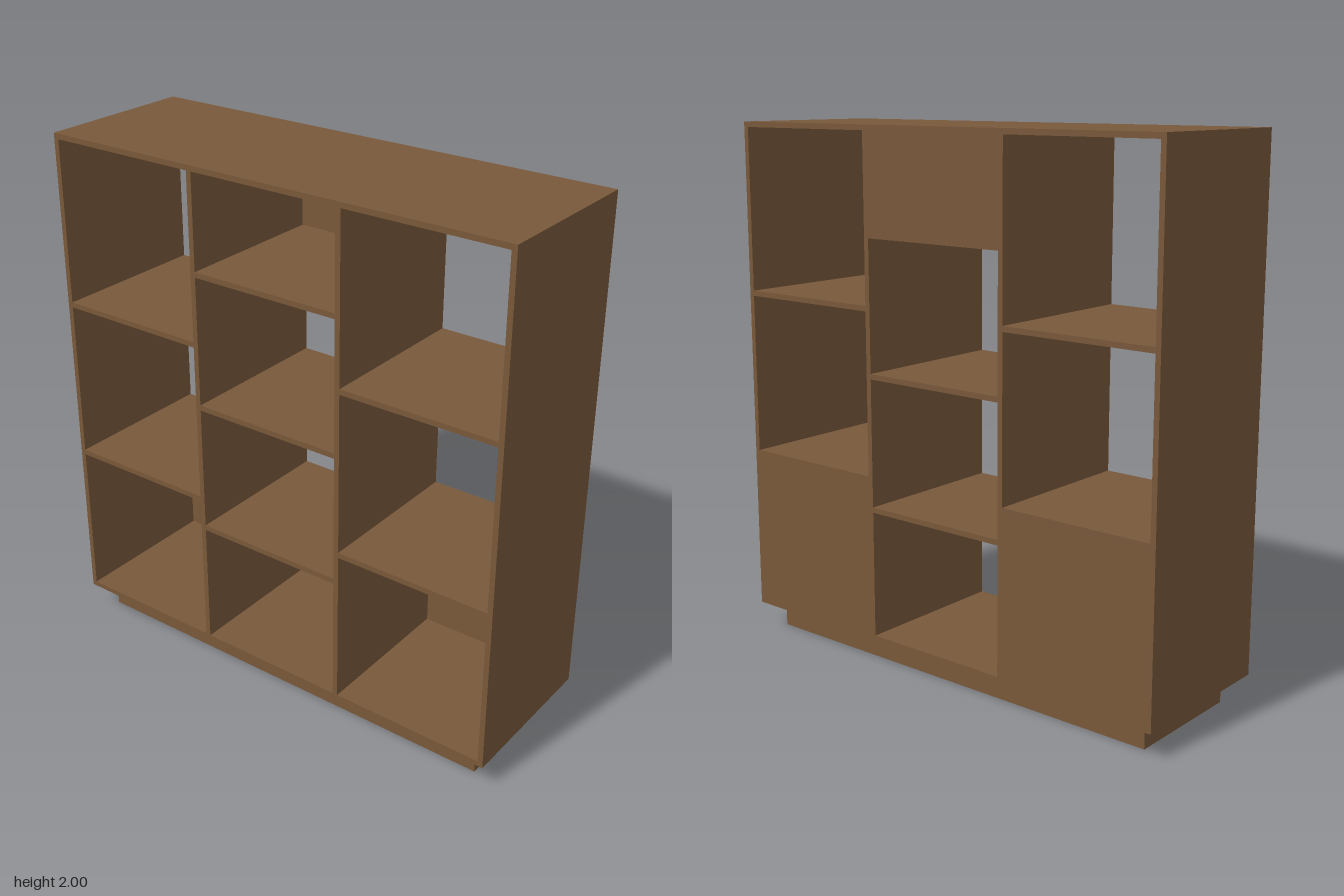
import * as THREE from 'three';

const T = 0.02;                    // board thickness
const W = 0.935, D = 0.31;         // half width, half depth
const BASE = 0.1, TOP = 2;         // carcass bottom and top
const DIV = 0.306;                 // divider centre

export function createModel() {
  const group = new THREE.Group();
  const wood = new THREE.MeshStandardMaterial({ color: 0x78583a });
  wood.name = 'brown wood';

  // Box given by its limits on each axis
  const board = (name, x0, x1, y0, y1, z0, z1) => {
    const mesh = new THREE.Mesh(new THREE.BoxGeometry(x1 - x0, y1 - y0, z1 - z0), wood);
    mesh.position.set((x0 + x1) / 2, (y0 + y1) / 2, (z0 + z1) / 2);
    mesh.name = name;
    group.add(mesh);
  };

  // Carcass
  board('topBoard', -W, W, TOP - T, TOP, -D, D);
  board('bottomBoard', -W, W, BASE, BASE + T, -D, D);
  for (const [side, s] of [['left', 1], ['right', -1]]) {
    const outer = s * (W - T / 2), inner = s * DIV;
    board(side + 'Side', outer - T / 2, outer + T / 2, BASE + T, TOP - T, -D, D);
    board(side + 'Divider', inner - T / 2, inner + T / 2, BASE + T, TOP - T, -D, D);
  }

  // Three bays: limits, shelf undersides, and the closed part of the back
  const bays = [
    { name: 'right', x0: -W + T, x1: -DIV - T / 2, shelves: [0.718, 1.341], back: [BASE + T, 0.718] },
    { name: 'centre', x0: -DIV + T / 2, x1: DIV - T / 2, shelves: [0.6, 1.1, 1.607], back: [1.627, TOP - T] },
    { name: 'left', x0: DIV + T / 2, x1: W - T, shelves: [0.715, 1.345], back: [BASE + T, 0.715] },
  ];
  for (const { name, x0, x1, shelves, back } of bays) {
    shelves.forEach((y, i) => board(`${name}Shelf${i + 1}`, x0, x1, y, y + T, -D, D));
    board(name + 'BackPanel', x0, x1, back[0], back[1], -D, -D + T);
  }

  // Recessed plinth, an open frame under the carcass
  const pw = 0.866, pd = 0.24;
  board('plinthFront', -pw, pw, 0, BASE, pd - T, pd);
  board('plinthBack', -pw, pw, 0, BASE, -pd, -pd + T);
  board('plinthLeft', pw - T, pw, 0, BASE, -pd + T, pd - T);
  board('plinthRight', -pw, -pw + T, 0, BASE, -pd + T, pd - T);

  return group;
}
